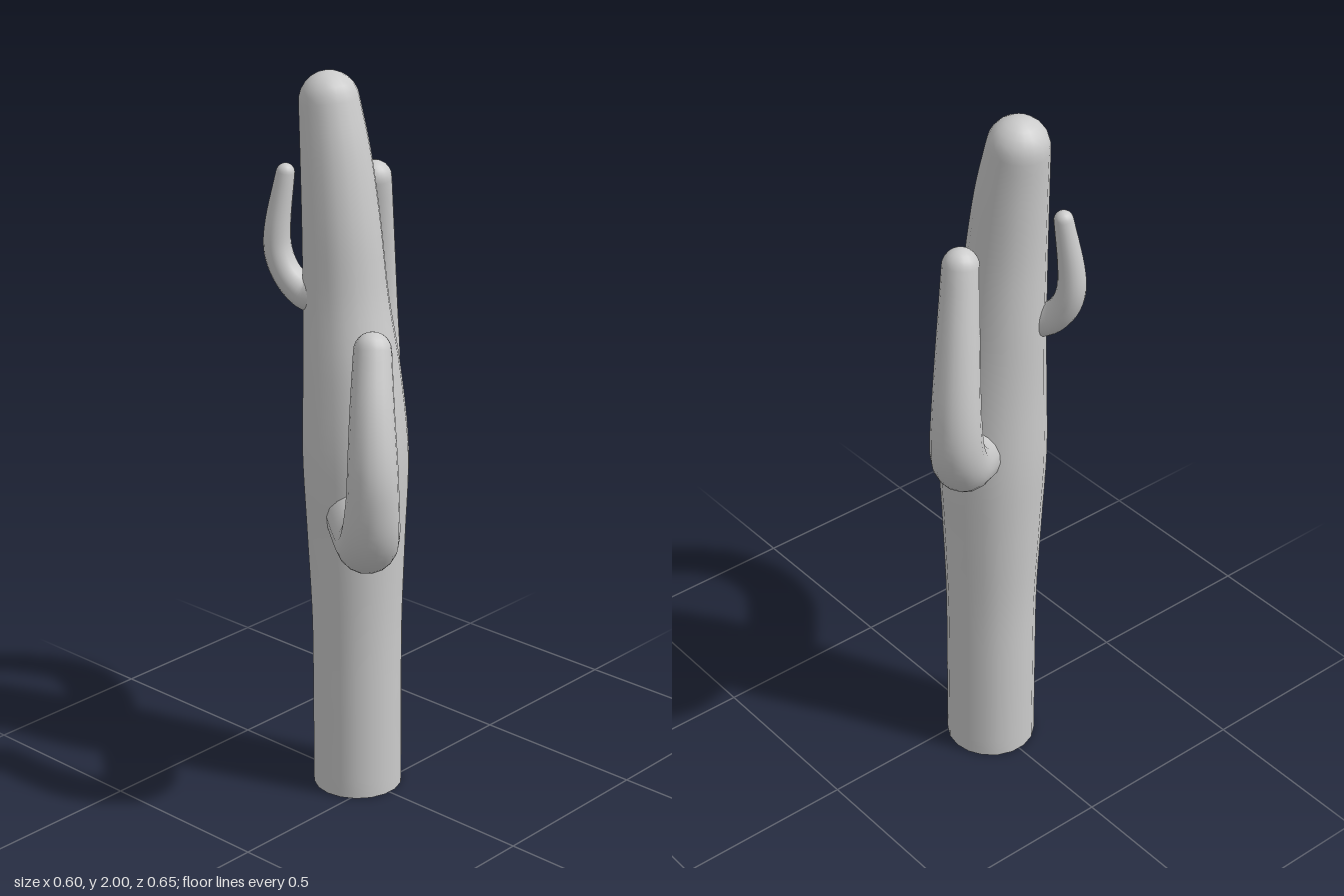
import * as THREE from 'three';

const SIDES = 18;
const CAP_RINGS = 6;
const material = new THREE.MeshStandardMaterial({ color: 0xcccccc, side: THREE.DoubleSide });

// Smooth limb swept through stations [x, y, z, radius], open at the base, domed at the tip
function limb(name, stations, stepsPerSpan = 5) {
  const path = new THREE.CatmullRomCurve3(
    stations.map(([x, y, z]) => new THREE.Vector3(x, y, z)), false, 'catmullrom', 0.5);
  const radii = new THREE.CatmullRomCurve3(
    stations.map(([, , , r]) => new THREE.Vector3(r, 0, 0)), false, 'catmullrom', 0.5);
  const steps = (stations.length - 1) * stepsPerSpan;
  const positions = [];
  const index = [];

  // Frame carried along the path without twisting
  const tangent = path.getTangent(0);
  const u = new THREE.Vector3(0, 0, 1);
  u.addScaledVector(tangent, -u.dot(tangent)).normalize();
  const v = new THREE.Vector3();
  const turn = new THREE.Quaternion();

  const addRing = (center, radius) => {
    v.crossVectors(tangent, u);
    for (let i = 0; i < SIDES; i++) {
      const a = (i / SIDES) * Math.PI * 2;
      const p = center.clone()
        .addScaledVector(u, Math.cos(a) * radius)
        .addScaledVector(v, Math.sin(a) * radius);
      positions.push(p.x, p.y, p.z);
    }
  };

  for (let s = 0; s <= steps; s++) {
    const next = path.getTangent(s / steps);
    u.applyQuaternion(turn.setFromUnitVectors(tangent, next));
    tangent.copy(next);
    addRing(path.getPoint(s / steps), radii.getPoint(s / steps).x);
  }

  // Domed tip
  const end = path.getPoint(1);
  const endRadius = radii.getPoint(1).x;
  for (let k = 1; k < CAP_RINGS; k++) {
    const a = (k / CAP_RINGS) * Math.PI / 2;
    addRing(end.clone().addScaledVector(tangent, endRadius * Math.sin(a)), endRadius * Math.cos(a));
  }
  const tip = end.clone().addScaledVector(tangent, endRadius);
  positions.push(tip.x, tip.y, tip.z);

  const rings = steps + CAP_RINGS;
  const apex = rings * SIDES;
  for (let i = 0; i < SIDES; i++) {
    const j = (i + 1) % SIDES;
    for (let k = 0; k < rings - 1; k++) {
      const a = k * SIDES;
      const b = a + SIDES;
      index.push(a + i, a + j, b + i, a + j, b + j, b + i);
    }
    index.push(apex - SIDES + i, apex - SIDES + j, apex);
  }

  const geometry = new THREE.BufferGeometry();
  geometry.setAttribute('position', new THREE.Float32BufferAttribute(positions, 3));
  geometry.setIndex(index);
  geometry.computeVertexNormals();
  const mesh = new THREE.Mesh(geometry, material);
  mesh.name = name;
  return mesh;
}

export function createModel() {
  const group = new THREE.Group();
  group.name = 'cactus';

  // Trunk: straight foot, slight swelling, then a taper leaning to the right
  group.add(limb('trunk', [
    [-0.067, 0, -0.003, 0.123],
    [-0.067, 0.25, -0.003, 0.123],
    [-0.067, 0.5, -0.003, 0.124],
    [-0.069, 0.75, -0.003, 0.134],
    [-0.071, 0.98, -0.003, 0.143],
    [-0.084, 1.2, -0.003, 0.131],
    [-0.105, 1.4, -0.003, 0.114],
    [-0.117, 1.6, 0, 0.104],
    [-0.136, 1.78, 0, 0.093],
    [-0.158, 1.92, 0, 0.08],
  ]));

  // Low arm, front left
  group.add(limb('frontArm', [
    [0, 0.83, 0.06, 0.09],
    [0.08, 0.82, 0.13, 0.083],
    [0.15, 0.838, 0.192, 0.08],
    [0.203, 0.9, 0.237, 0.075],
    [0.228, 1, 0.258, 0.068],
    [0.23, 1.1, 0.26, 0.064],
    [0.21, 1.23, 0.24, 0.057],
    [0.175, 1.37, 0.2, 0.049],
  ]));

  // Middle arm, back right
  group.add(limb('backArm', [
    [-0.08, 1.03, -0.06, 0.088],
    [-0.13, 1.045, -0.13, 0.081],
    [-0.188, 1.09, -0.2, 0.076],
    [-0.226, 1.17, -0.248, 0.07],
    [-0.235, 1.28, -0.258, 0.064],
    [-0.217, 1.46, -0.238, 0.056],
    [-0.185, 1.675, -0.202, 0.047],
  ]));

  // Small high arm, right side
  group.add(limb('smallArm', [
    [-0.145, 1.415, 0.052, 0.052],
    [-0.19, 1.417, 0.065, 0.045],
    [-0.235, 1.457, 0.08, 0.04],
    [-0.262, 1.52, 0.088, 0.038],
    [-0.263, 1.6, 0.086, 0.034],
    [-0.248, 1.73, 0.072, 0.025],
  ]));

  return group;
}
